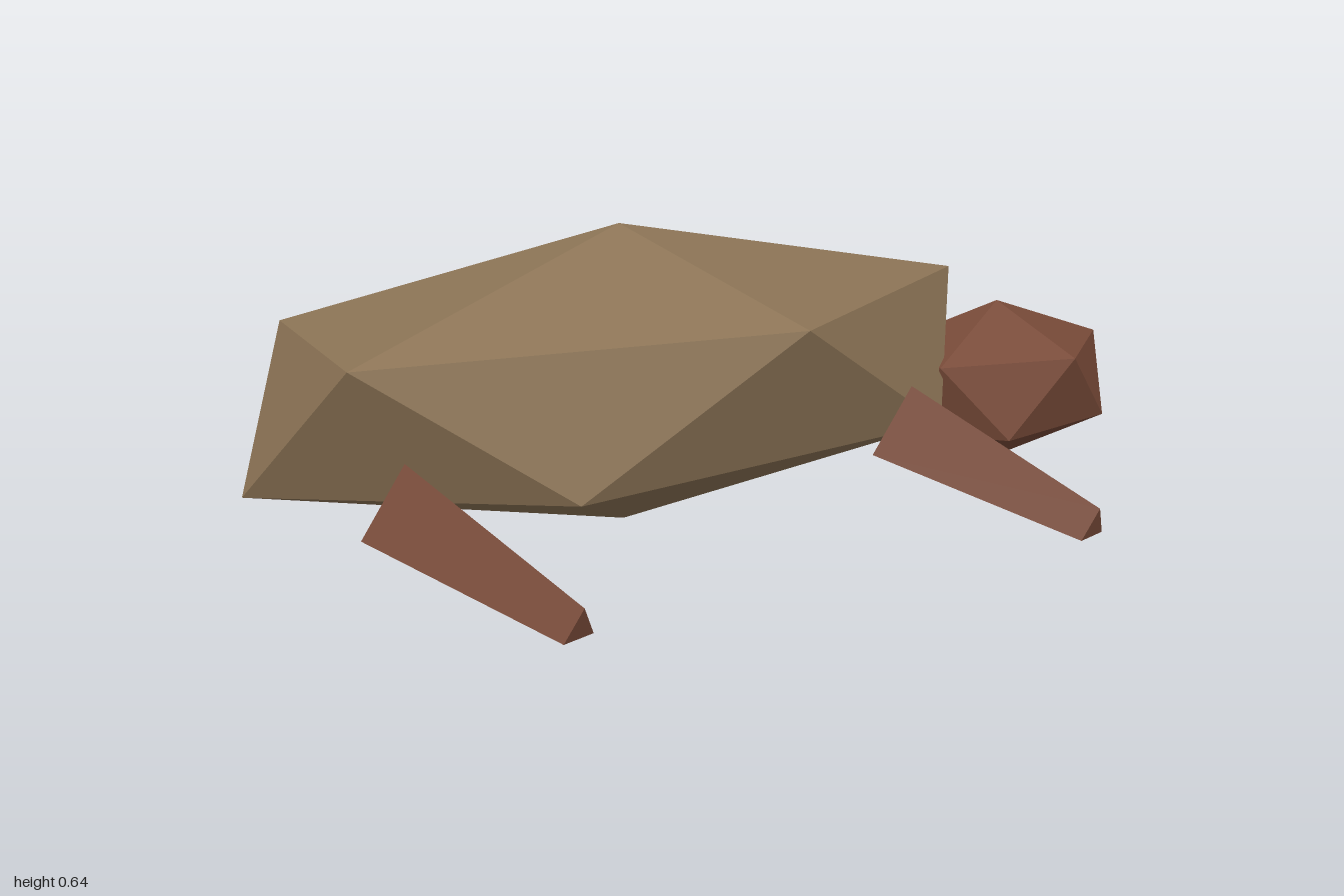
import * as THREE from 'three';
import { ConvexGeometry } from 'three/addons/geometries/ConvexGeometry.js';

const shellMaterial = new THREE.MeshStandardMaterial({ color: 0x8b7355 });
shellMaterial.name = 'shell brown';
const skinMaterial = new THREE.MeshStandardMaterial({ color: 0x784a38 });
skinMaterial.name = 'skin reddish brown';

// Icosahedron standing on one corner, with the first upper corner towards +x
function poleIcosahedron(rx, ry, rz) {
  const ringY = 1 / Math.sqrt(5), ringR = 2 / Math.sqrt(5);
  const points = [new THREE.Vector3(0, ry, 0), new THREE.Vector3(0, -ry, 0)];
  for (let i = 0; i < 10; i++) {
    const a = (i * Math.PI) / 5;
    const y = i % 2 === 0 ? ringY : -ringY;
    points.push(new THREE.Vector3(Math.cos(a) * ringR * rx, y * ry, Math.sin(a) * ringR * rz));
  }
  return new ConvexGeometry(points);
}

// Tapered three-sided leg, reaching forward and slightly sideways
function legGeometry() {
  return new ConvexGeometry([
    // hip
    [-0.76, 0.29, 0.095], [-0.85, 0.15, 0.09], [-0.68, 0.15, 0.03],
    // foot
    [-0.59, 0.125, 0.53], [-0.63, 0.063, 0.527], [-0.562, 0.063, 0.503],
  ].map((p) => new THREE.Vector3(...p)));
}

export function createModel() {
  const model = new THREE.Group();
  model.name = 'turtle';

  const add = (name, geometry, material, x, y, z) => {
    const mesh = new THREE.Mesh(geometry, material);
    mesh.name = name;
    mesh.position.set(x, y, z);
    model.add(mesh);
  };

  // Shell and head
  add('shell', poleIcosahedron(0.906, 0.32, 0.418), shellMaterial, -0.19, 0.322, -0.177);
  add('head', poleIcosahedron(0.308, 0.186, 0.22), skinMaterial, 0.722, 0.199, -0.131);

  // Two matching legs
  const leg = legGeometry();
  add('rightLeg', leg, skinMaterial, 0, 0, 0);
  add('leftLeg', leg, skinMaterial, 1.115, 0, 0);

  return model;
}
